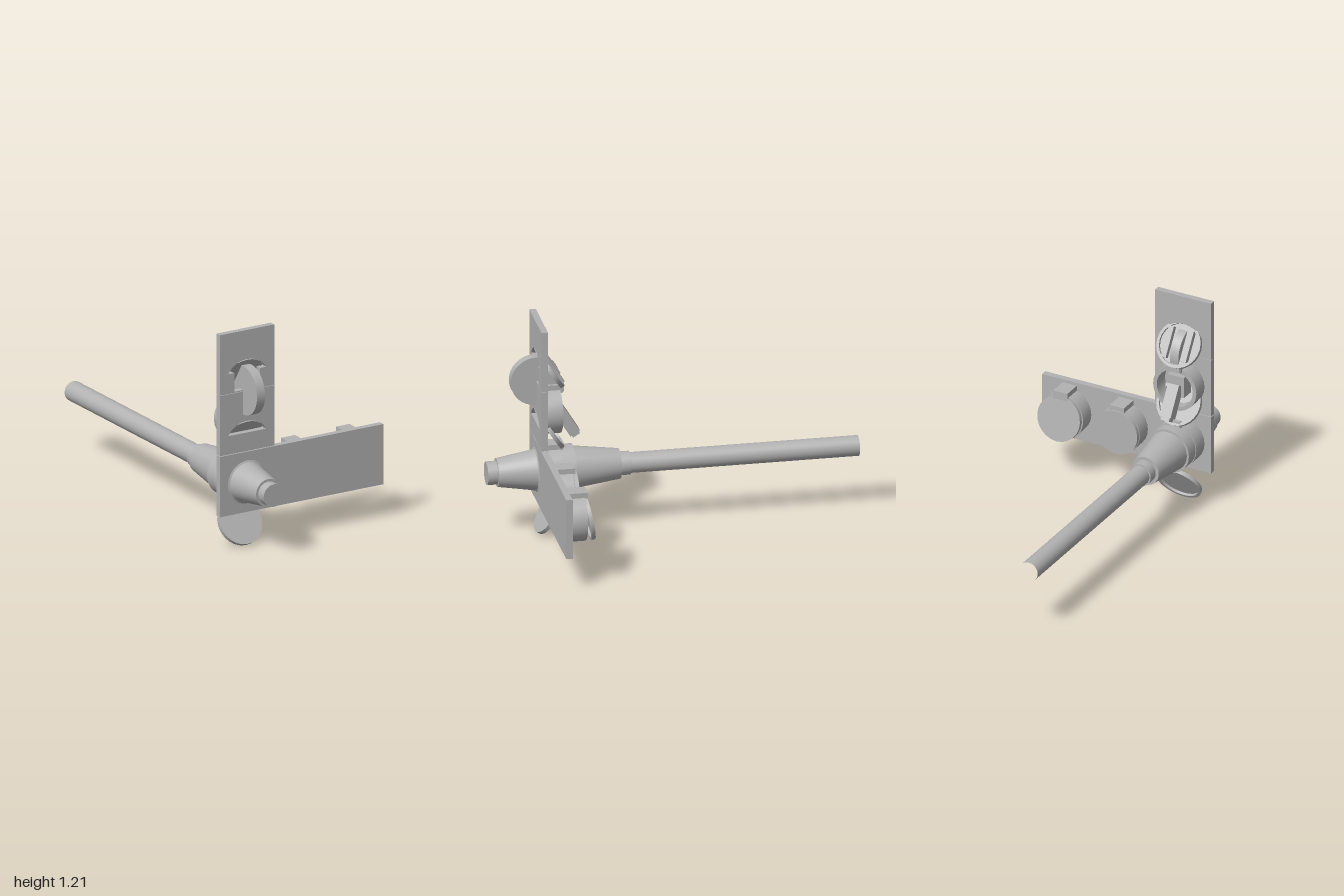
import * as THREE from 'three';
import { toCreasedNormals } from 'three/addons/utils/BufferGeometryUtils.js';

const grey = new THREE.MeshStandardMaterial({ color: 0xb2b2b2 });
grey.name = 'grey';

const PX = -0.34;      // column of ports on the upright plates
const BACK = 0.70;     // rear face of the plates
const THICK = 0.035;
const TILT = 0.57;     // angle of the opened lids
const LID_R = 0.128;

export function createModel() {
  const model = new THREE.Group();
  model.name = 'socketPanel';

  const add = (name, geo, x = 0, y = 0, z = 0, parent = model) => {
    const m = new THREE.Mesh(geo, grey);
    m.name = name;
    m.position.set(x, y, z);
    parent.add(m);
    return m;
  };
  const box = (name, w, h, d, x, y, z, parent) =>
    add(name, new THREE.BoxGeometry(w, h, d), x, y, z, parent);
  // Turned shape along +z, from [radius, z] pairs
  const turned = (pts, seg = 24) => {
    const g = new THREE.LatheGeometry(pts.map(p => new THREE.Vector2(p[0], p[1])), seg);
    g.rotateX(Math.PI / 2);
    return toCreasedNormals(g, 0.6);
  };

  // Plates; the upper two have cut-outs where the opened lids meet them
  const plate = (name, x0, x1, y0, y1, hole) => {
    const s = new THREE.Shape();
    s.moveTo(x0, y0); s.lineTo(x1, y0); s.lineTo(x1, y1); s.lineTo(x0, y1); s.closePath();
    if (hole) s.holes.push(hole);
    add(name, new THREE.ExtrudeGeometry(s, { depth: THICK, bevelEnabled: false, curveSegments: 16 }), 0, 0, BACK);
  };
  const lidCutout = (cy, slotBottom) => {
    const h = new THREE.Path();
    const ry = LID_R * Math.cos(TILT), yb = 0.043, a = Math.asin(yb / ry);
    const pts = [];
    for (let i = 0; i <= 16; i++) {
      const t = a + (Math.PI - 2 * a) * i / 16;
      pts.push(new THREE.Vector2(PX + LID_R * Math.cos(t), cy + ry * Math.sin(t)));
    }
    if (slotBottom) {
      for (const [dx, y] of [[-0.08, cy + yb], [-0.08, slotBottom], [0.08, slotBottom], [0.08, cy + yb]])
        pts.push(new THREE.Vector2(PX + dx, y));
    }
    h.setFromPoints(pts);
    h.closePath();
    return h;
  };
  plate('lowerPlate', -0.509, -0.172, 0.182, 0.518);
  plate('middlePlate', -0.509, -0.172, 0.522, 0.858, lidCutout(0.582));
  plate('upperPlate', -0.509, -0.172, 0.86, 1.197, lidCutout(0.927, 0.866));
  plate('sidePlate', -0.171, 0.506, 0.182, 0.518);

  // Port collars with hinge blocks on the rear
  const collar = turned([[0.108, -0.09], [0.13, -0.09], [0.13, 0], [0.108, 0], [0.108, -0.09]]);
  for (const [x, y] of [[PX, 0.35], [PX, 0.69], [0, 0.35], [0.34, 0.35]]) {
    add('portCollar', collar, x, y, BACK);
    box('hingeBlock', 0.085, 0.045, 0.105, x, y + 0.128, BACK - 0.0525);
  }

  // Lids: flat outer face, raised rim on the inner face
  const lidGeo = turned([[0, -0.002], [0.112, -0.002], [0.112, -0.016],
    [LID_R, -0.016], [LID_R, 0.006], [0, 0.006]]);
  const lid = (name, x, y, z, rx, ry = 0) => {
    const g = new THREE.Group();
    g.name = name;
    g.position.set(x, y, z);
    g.rotation.set(rx, ry, 0);
    add('lidDisc', lidGeo, 0, 0, 0, g);
    model.add(g);
    return g;
  };
  const topLid = lid('upperOpenLid', PX, 0.927, 0.664, TILT);
  lid('middleOpenLid', PX, 0.582, 0.664, TILT);
  lid('hangingLid', PX, 0.108, 0.664, -TILT);
  lid('closedLid', 0, 0.35, 0.592, 0, Math.PI);
  lid('ajarLid', 0.34, 0.35, 0.583, 0.17, Math.PI);
  for (const y of [0.49, 0.815]) box('lidHinge', 0.08, 0.03, 0.03, PX, y, 0.605);
  // Ribs inside the upper lid
  for (const s of [-1, 1]) box('lidRib', 0.03, 0.17, 0.03, s * 0.06, 0, -0.016, topLid);

  // Thumb wheel through the slot
  const wheel = new THREE.CylinderGeometry(0.135, 0.135, 0.05, 36);
  wheel.rotateZ(Math.PI / 2);
  add('wheel', wheel, PX, 0.865, 0.738);

  // Lever in the middle port
  const lever = new THREE.Group();
  lever.name = 'lever';
  lever.position.set(PX, 0.63, 0.575);
  lever.rotation.x = 0.55;
  box('leverArm', 0.066, 0.18, 0.06, 0, 0, 0, lever);
  box('leverTip', 0.05, 0.02, 0.045, 0, -0.098, 0, lever);
  model.add(lever);
  box('leverMount', 0.10, 0.12, 0.08, PX, 0.70, 0.66);

  // Front plug
  add('frontPlug', turned([[0.12, 0.735], [0.11, 0.74], [0.076, 0.945], [0.063, 0.945], [0.063, 1], [0, 1]], 32), PX, 0.35, 0);
  // Rear plug
  add('rearPlug', turned([[0.05, 0.23], [0.063, 0.23], [0.063, 0.285], [0.081, 0.285],
    [0.114, 0.535], [0.126, 0.535], [0.126, 0.70]], 32), PX, 0.35, 0);
  // Cable, open at its far end
  add('cable', turned([[0.055, -1], [0.055, 0.24]], 32), PX, 0.35, 0);

  return model;
}
